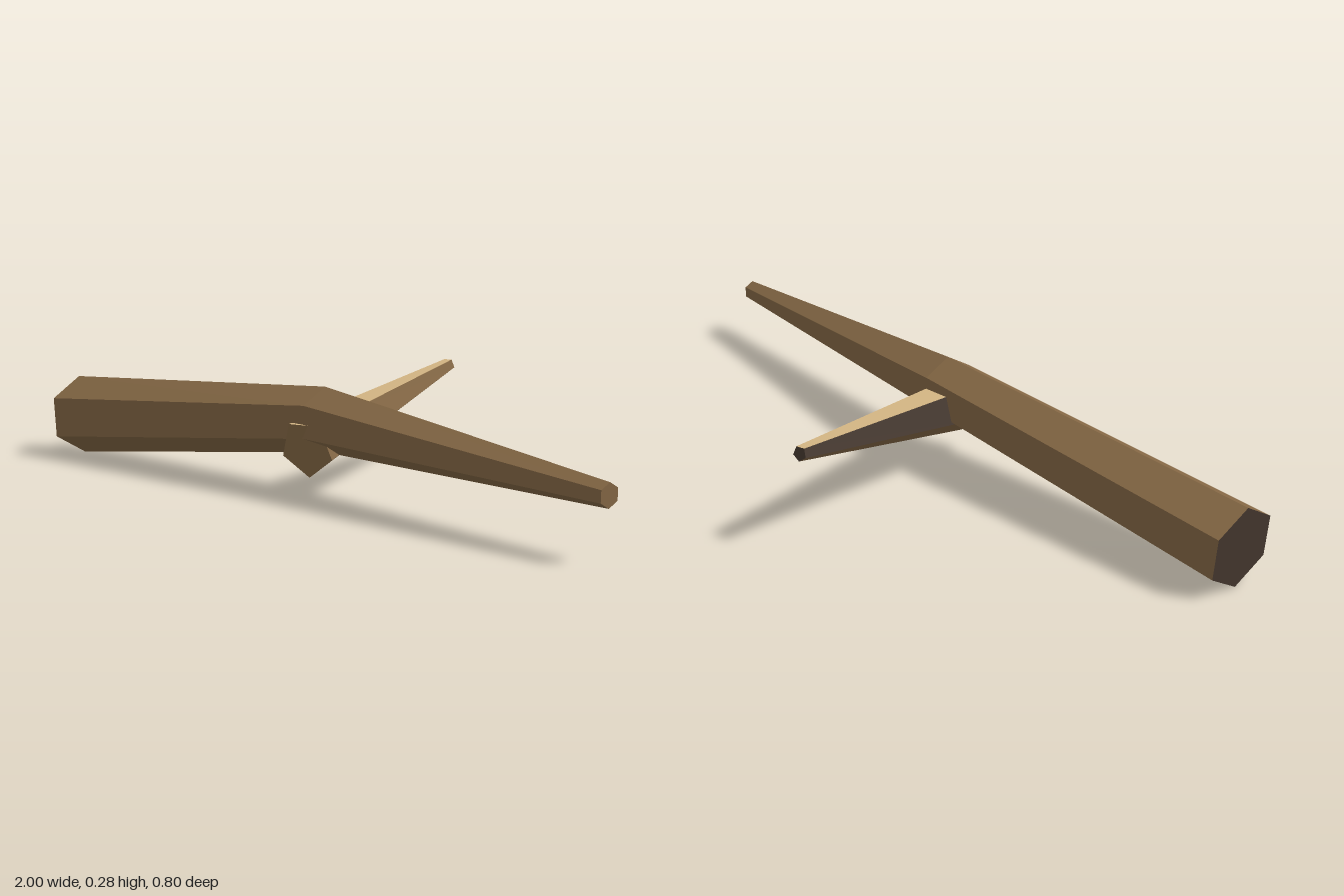
import * as THREE from 'three';

function flatColour(name, color) {
  const material = new THREE.MeshStandardMaterial({ color });
  material.name = name;
  return material;
}
const BARK = 0, PALE = 1, DARK = 2;
const materials = [
  flatColour('brown bark', 0x856845),
  flatColour('pale wood', 0xd2b482),
  flatColour('dark wood', 0x45382f),
];

// Corners of a regular polygon standing square to an axis
function ring({ at, axis, radius }, sides, turn) {
  const a = new THREE.Vector3(...axis).normalize();
  const up = new THREE.Vector3(0, 1, 0);
  up.addScaledVector(a, -up.dot(a)).normalize();
  const side = a.clone().cross(up);
  return Array.from({ length: sides }, (_, i) => {
    const t = turn + (i / sides) * Math.PI * 2;
    return new THREE.Vector3(...at)
      .addScaledVector(up, radius * Math.cos(t))
      .addScaledVector(side, radius * Math.sin(t));
  });
}

// Faceted tapering limb with closed ends; colours are given per side strip and per end
function limb(name, sections, turn, strips, startColour, endColour) {
  const sides = strips.length;
  const rings = sections.map((s) => ring(s, sides, turn));
  const faces = materials.map(() => []);
  for (let r = 0; r + 1 < rings.length; r++) {
    strips.forEach((colour, j) => {
      const k = (j + 1) % sides;
      const [a, b, c, d] = [rings[r][j], rings[r][k], rings[r + 1][k], rings[r + 1][j]];
      faces[colour].push(a, b, c, a, c, d);
    });
  }
  const first = rings[0], last = rings[rings.length - 1];
  for (let j = 1; j + 1 < sides; j++) {
    faces[startColour].push(first[0], first[j + 1], first[j]);
    faces[endColour].push(last[0], last[j], last[j + 1]);
  }
  const geometry = new THREE.BufferGeometry().setFromPoints(faces.flat());
  let start = 0;
  faces.forEach((list, i) => {
    if (list.length) geometry.addGroup(start, list.length, i);
    start += list.length;
  });
  geometry.computeVertexNormals();
  const mesh = new THREE.Mesh(geometry, materials);
  mesh.name = name;
  return mesh;
}

export function createModel() {
  const group = new THREE.Group();
  group.name = 'fallenBranch';

  // Main six-sided stem, bent at the middle, with a dark broken thick end
  group.add(limb('mainStem', [
    { at: [-0.99, 0.108, 0.305], axis: [1, 0.087, -0.063], radius: 0.108 },
    { at: [0, 0.195, 0.24], axis: [1, 0, 0], radius: 0.083 },
    { at: [0.998, 0.15, 0.305], axis: [1, -0.045, 0.065], radius: 0.029 },
  ], 0, Array(6).fill(BARK), DARK, BARK));

  // Five-sided side twig pushed through the stem: pale top, dark right flank and tip
  const twigAxis = [-0.213, 0.132, -0.698];
  group.add(limb('sideTwig', [
    { at: [0.003, 0.128, 0.305], axis: twigAxis, radius: 0.076 },
    { at: [-0.211, 0.261, -0.393], axis: twigAxis, radius: 0.0195 },
  ], Math.PI, [BARK, DARK, PALE, BARK, BARK], BARK, DARK));

  return group;
}
